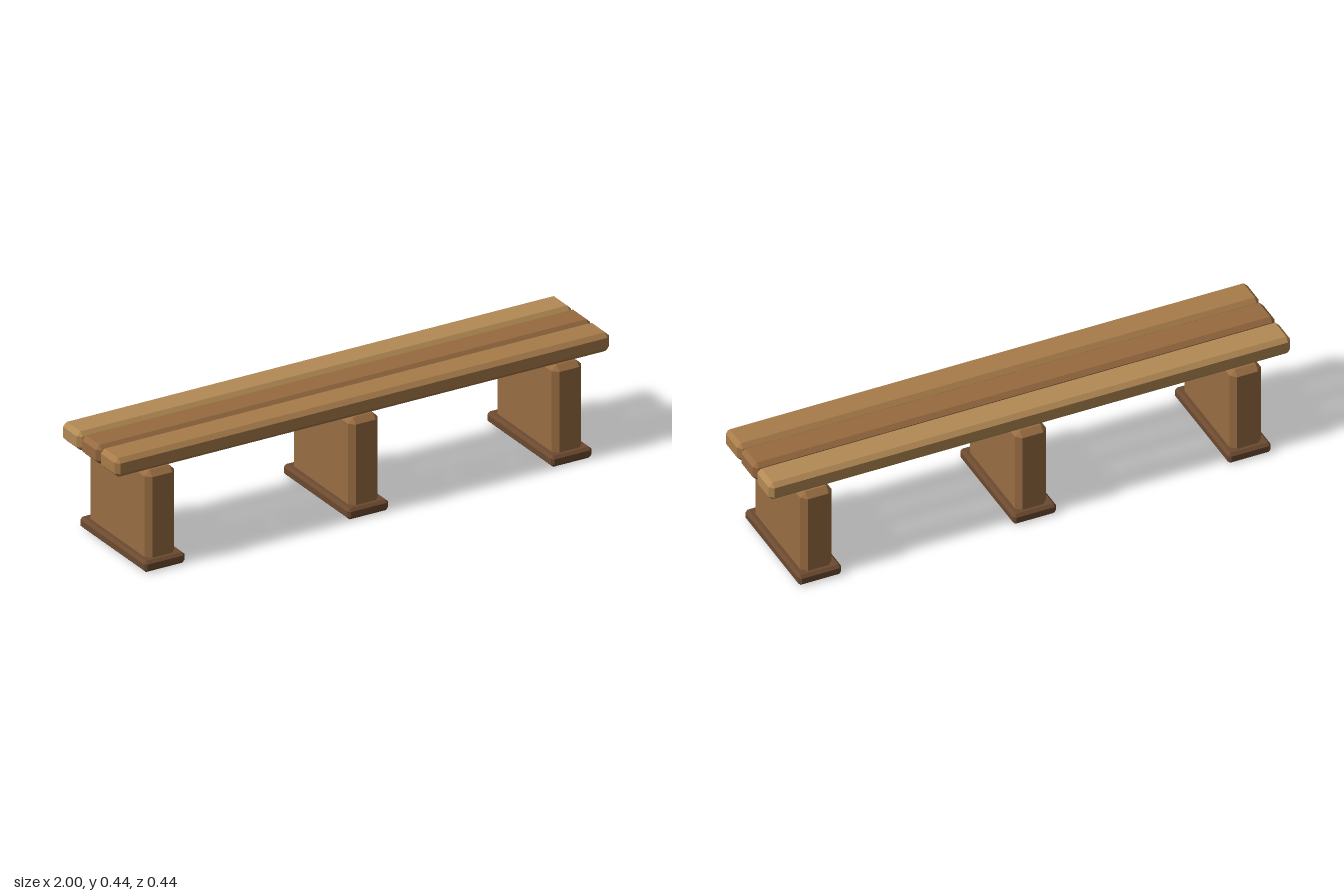
import * as THREE from 'three';
import { ConvexGeometry } from 'three/addons/geometries/ConvexGeometry.js';

// Box with every edge and corner cut flat by c
function chamferBox(w, h, d, c) {
  const points = [];
  for (const sx of [-1, 1]) for (const sy of [-1, 1]) for (const sz of [-1, 1]) {
    const x = w / 2, y = h / 2, z = d / 2;
    points.push(
      new THREE.Vector3(sx * x, sy * (y - c), sz * (z - c)),
      new THREE.Vector3(sx * (x - c), sy * y, sz * (z - c)),
      new THREE.Vector3(sx * (x - c), sy * (y - c), sz * z),
    );
  }
  return new ConvexGeometry(points);
}

const wood = (color) => new THREE.MeshStandardMaterial({ color, flatShading: true });

export function createModel() {
  const bench = new THREE.Group();
  bench.name = 'bench';

  const add = (parent, name, geometry, material, x, y, z) => {
    const mesh = new THREE.Mesh(geometry, material);
    mesh.name = name;
    mesh.position.set(x, y, z);
    parent.add(mesh);
  };

  // Seat: three planks, each a different shade
  const plank = chamferBox(2, 0.072, 0.121, 0.0155);
  const planks = [
    ['frontPlank', 0.127, 0xa87c4a],
    ['middlePlank', 0.002, 0x986a40],
    ['backPlank', -0.126, 0xb38a54],
  ];
  for (const [name, z, color] of planks) add(bench, name, plank, wood(color), 0, 0.406, z);

  // Supports: a slab leg standing in a wider foot
  const leg = chamferBox(0.12, 0.36, 0.4, 0.02);
  const foot = chamferBox(0.165, 0.042, 0.442, 0.01);
  const legWood = wood(0x996d42), footWood = wood(0x6c4a30);
  for (const [name, x] of [['rightSupport', -0.823], ['middleSupport', 0], ['leftSupport', 0.823]]) {
    const support = new THREE.Group();
    support.name = name;
    support.position.x = x;
    add(support, 'leg', leg, legWood, 0, 0.19, 0);
    add(support, 'foot', foot, footWood, 0, 0.021, 0);
    bench.add(support);
  }
  return bench;
}
